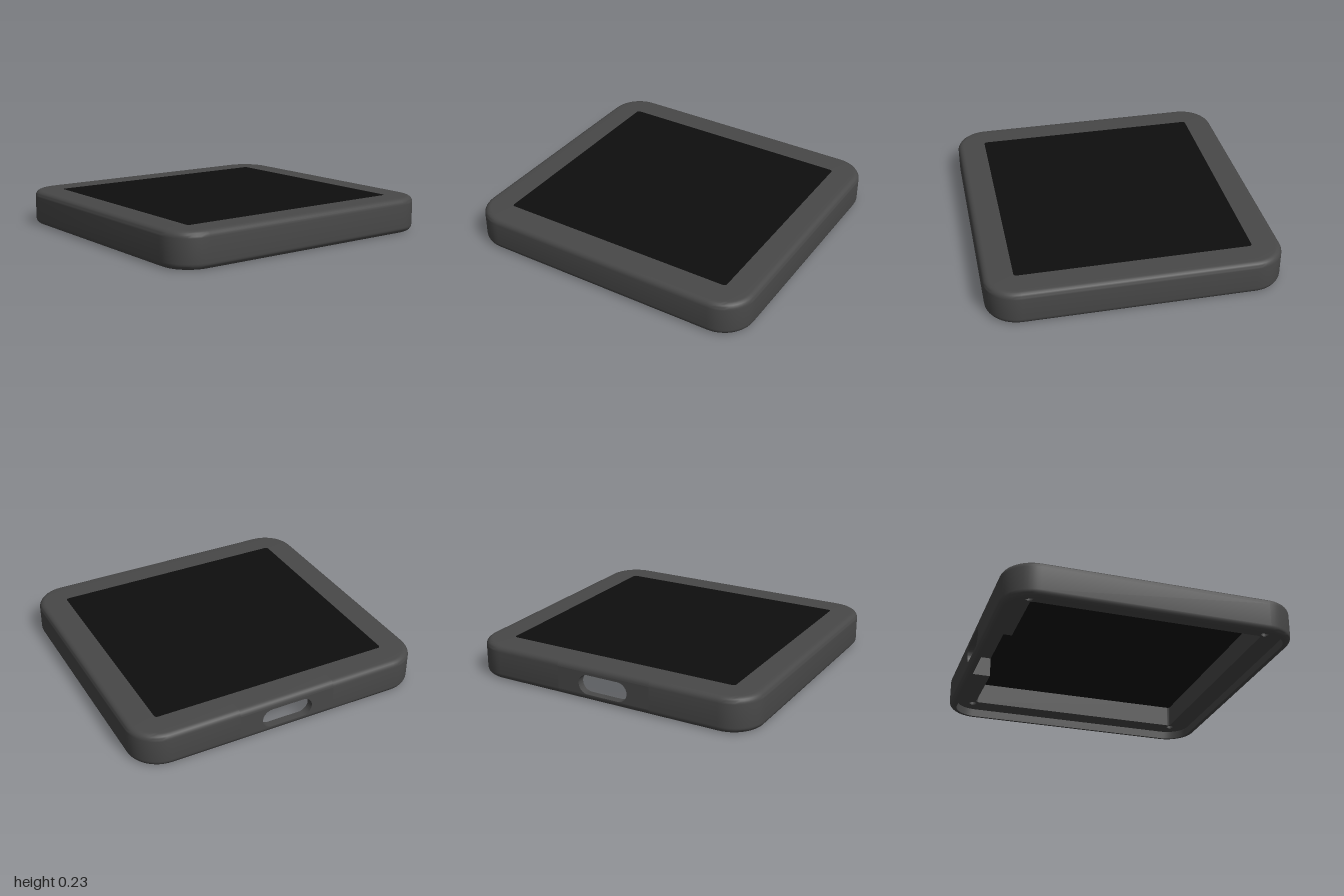
import * as THREE from 'three';
import { mergeGeometries, toCreasedNormals } from 'three/addons/utils/BufferGeometryUtils.js';

const HX = 1, HZ = 0.945, H = 0.23;      // half width, half depth, height
const R = 0.21, F = 0.04;                // corner radius in plan, edge fillet
const LIP = 0.05, BORDER = 0.19;         // rim thickness, frame width
const LEDGE = 0.055, ROOF = H - F;       // height of recessed ledge, pocket ceiling
const GAP = 0.33;                        // half width of the connector pocket

// Path point with its outward normal
const station = (x, z, nx, nz) => ({ x, z, nx, nz });

// Rounded rectangle seen from above, open at the back over the pocket
function framePath(steps = 12) {
  const path = [station(-GAP, -HZ, 0, -1)];
  [[-1, -1, 270], [-1, 1, 180], [1, 1, 90], [1, -1, 0]].forEach(([sx, sz, start]) => {
    for (let i = 0; i <= steps; i++) {
      const a = THREE.MathUtils.degToRad(start - (90 * i) / steps);
      const nx = Math.cos(a), nz = Math.sin(a);
      path.push(station(sx * (HX - R) + R * nx, sz * (HZ - R) + R * nz, nx, nz));
    }
  });
  path.push(station(GAP, -HZ, 0, -1));
  return path;
}

// Quarter round in (inset, height)
function fillet(cy, from) {
  return Array.from({ length: 7 }, (_, i) => {
    const a = from + (i / 6) * Math.PI / 2;
    return [F + F * Math.cos(a), cy + F * Math.sin(a)];
  });
}

// Sweep an (inset, height) profile along a path
function sweep(path, profile) {
  const pos = [];
  const at = (s, [d, y]) => [s.x - s.nx * d, y, s.z - s.nz * d];
  for (let i = 0; i < path.length - 1; i++) {
    for (let j = 0; j < profile.length - 1; j++) {
      const a = at(path[i], profile[j]), b = at(path[i], profile[j + 1]);
      const c = at(path[i + 1], profile[j]), d = at(path[i + 1], profile[j + 1]);
      pos.push(...a, ...b, ...c, ...b, ...d, ...c);
    }
  }
  const g = new THREE.BufferGeometry();
  g.setAttribute('position', new THREE.Float32BufferAttribute(pos, 3));
  return toCreasedNormals(g, 0.6);
}

const inset = (path, d) => path.map(s => new THREE.Vector2(s.x - s.nx * d, s.z - s.nz * d));

export function createModel() {
  const group = new THREE.Group();
  const bodyMat = new THREE.MeshStandardMaterial({ color: 0x484848, side: THREE.DoubleSide });
  bodyMat.name = 'dark grey casing';
  const screenMat = new THREE.MeshStandardMaterial({ color: 0x0e0e0e });
  screenMat.name = 'black glass';
  const add = (name, geometry, material) => {
    const mesh = new THREE.Mesh(geometry, material);
    mesh.name = name;
    group.add(mesh);
    return mesh;
  };

  const path = framePath();
  const topRound = fillet(ROOF, Math.PI / 2);
  const bottomRound = fillet(F, Math.PI);

  // Main frame: inner wall, top border, outer wall and bottom lip
  const profile = [[BORDER, LEDGE], [BORDER, H], ...topRound, ...bottomRound, [LIP, 0], [LIP, LEDGE]];
  add('frame', sweep(path, profile), bodyMat);

  // Side walls of the connector pocket
  const section = new THREE.Shape(profile.map(p => new THREE.Vector2(...p)));
  for (const side of [-1, 1]) {
    const cap = new THREE.ShapeGeometry(section).rotateY(-Math.PI / 2);
    add('pocketSide', cap.translate(side * GAP, 0, -HZ), bodyMat);
  }

  // Recessed ledge under the frame, with a screw hole in each corner
  const ledge = new THREE.Shape([...inset(path, LIP), ...inset(path, BORDER).reverse()]);
  const tubes = [];
  const holeR = 0.025, holeDepth = 0.1;
  for (const x of [-0.84, 0.84]) for (const z of [-0.77, 0.77]) {
    ledge.holes.push(new THREE.Path().absarc(x, z, holeR, 0, Math.PI * 2, true));
    tubes.push(
      new THREE.CylinderGeometry(holeR, holeR, holeDepth, 24, 1, true).translate(x, LEDGE + holeDepth / 2, z),
      new THREE.CircleGeometry(holeR, 24).rotateX(Math.PI / 2).translate(x, LEDGE + holeDepth, z)
    );
  }
  add('ledge', new THREE.ShapeGeometry(ledge).rotateX(Math.PI / 2).translate(0, LEDGE, 0), bodyMat);
  add('screwHoles', mergeGeometries(tubes), bodyMat);

  // Back wall across the pocket: top bar, bottom lip, and a plate with the port slot
  const backPath = [station(GAP, -HZ, 0, -1), station(-GAP, -HZ, 0, -1)];
  add('pocketTop', sweep(backPath, [[BORDER, ROOF], [BORDER, H], ...topRound, [BORDER, ROOF]]), bodyMat);
  add('pocketLip', sweep(backPath, [...bottomRound, [LIP, 0], [LIP, F]]), bodyMat);

  const plate = new THREE.Shape();
  plate.moveTo(-GAP, F).lineTo(GAP, F).lineTo(GAP, ROOF).lineTo(-GAP, ROOF).closePath();
  const slot = new THREE.Path();
  const slotR = 0.065, slotX = 0.11, slotY = 0.108;
  slot.absarc(slotX, slotY, slotR, Math.PI / 2, -Math.PI / 2, true);
  slot.absarc(-slotX, slotY, slotR, -Math.PI / 2, -Math.PI * 1.5, true);
  plate.holes.push(slot);
  const plateGeo = new THREE.ExtrudeGeometry(plate, { depth: LIP, bevelEnabled: false, curveSegments: 16 });
  add('portPlate', toCreasedNormals(plateGeo, 0.6).translate(0, 0, -HZ), bodyMat);

  // Screen set into the top opening
  const screen = new THREE.ExtrudeGeometry(new THREE.Shape(inset(path, BORDER)), { depth: 0.028, bevelEnabled: false });
  add('screen', screen.rotateX(Math.PI / 2).translate(0, H - 0.001, 0), screenMat);

  return group;
}
